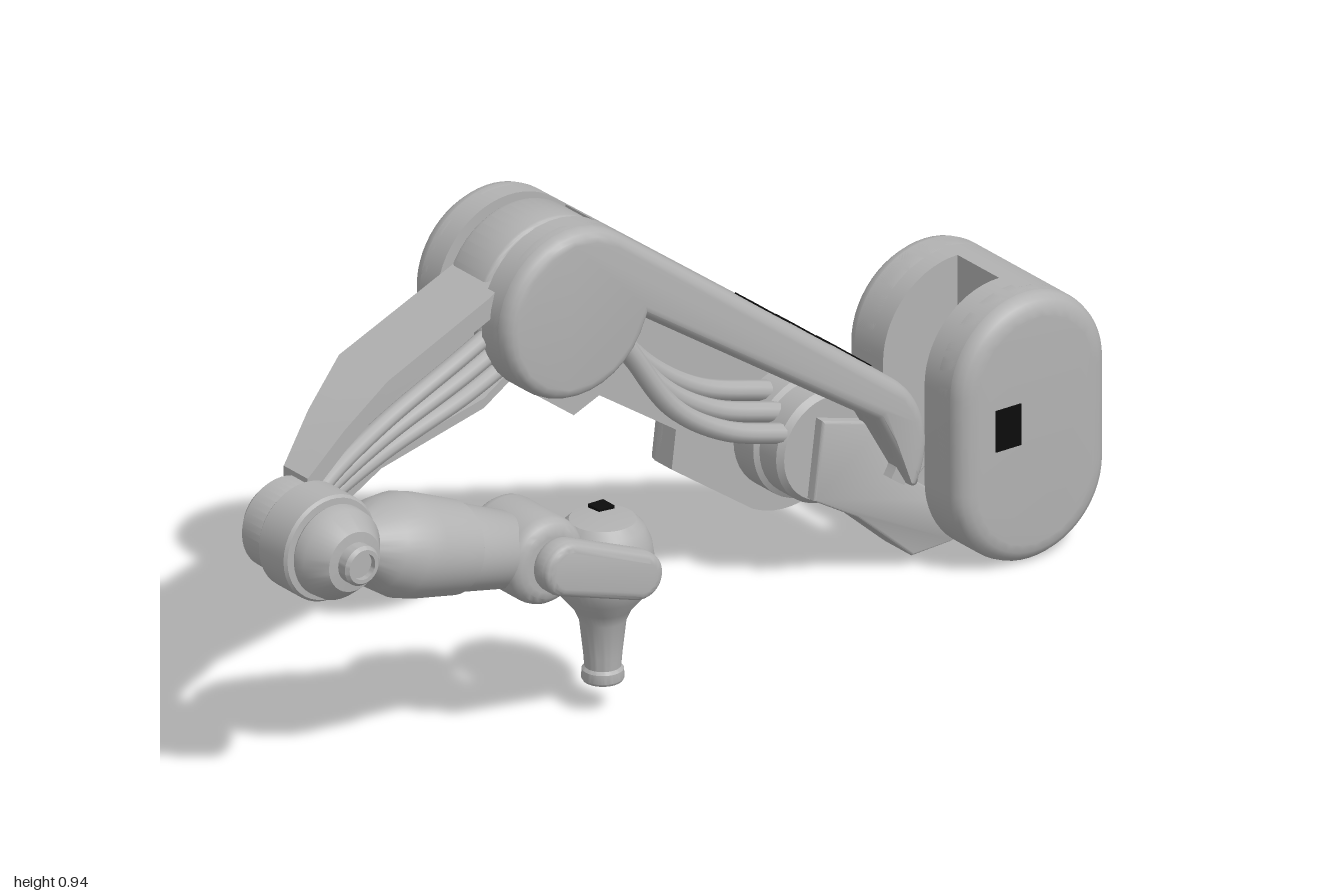
import * as THREE from 'three';
import { toCreasedNormals } from 'three/addons/utils/BufferGeometryUtils.js';

const grey = new THREE.MeshStandardMaterial({ color: 0xb2b2b2 });
grey.name = 'casing grey';
const black = new THREE.MeshStandardMaterial({ color: 0x0c0c0c });
black.name = 'marking black';

const ELBOW = [0.2, 0.77], SHOULDER = [-0.45, 0.29], R = 0.172;
const SLOPE = Math.atan2(0.48, 0.65);

export function createModel() {
  const root = new THREE.Group();
  root.name = 'robotArm';

  const add = (name, geo, mat = grey, crease = 0.6) => {
    const mesh = new THREE.Mesh(crease ? toCreasedNormals(geo, crease) : geo, mat);
    mesh.name = name;
    root.add(mesh);
    return mesh;
  };

  // Arc points in the [z, y] plane, angles in degrees
  const arc = ([cz, cy], r, a0, a1, n = 28) => Array.from({ length: n + 1 }, (_, i) => {
    const a = THREE.MathUtils.degToRad(a0 + (a1 - a0) * i / n);
    return [cz + r * Math.cos(a), cy + r * Math.sin(a)];
  });

  // Extrudes a [z, y] outline along x, optionally with rounded edges
  const slab = (name, pts, x0, x1, size = 0, thick = size) => {
    const shape = new THREE.Shape(pts.map(([z, y]) => new THREE.Vector2(-z, y)));
    const geo = new THREE.ExtrudeGeometry(shape, {
      depth: x1 - x0 - 2 * thick, bevelEnabled: size > 0, bevelSize: size,
      bevelThickness: thick, bevelOffset: -size, bevelSegments: 4,
    });
    geo.translate(0, 0, thick);
    geo.rotateY(Math.PI / 2);
    geo.translate(x0, 0, 0);
    return add(name, geo);
  };

  // Side shell: square inner edge, rounded outer edge
  const cheek = (name, pts, xIn, xOut, size, thick) => {
    const s = Math.sign(xOut - xIn), mid = xOut - s * thick;
    slab(name + 'Inner', pts, Math.min(xIn, mid), Math.max(xIn, mid));
    const a = xIn + s * 0.004;
    slab(name, pts, Math.min(a, xOut), Math.max(a, xOut), size, thick);
  };

  // Turned part from [radius, height] pairs
  const turned = (name, prof) =>
    add(name, new THREE.LatheGeometry(prof.map(([r, h]) => new THREE.Vector2(r, h)), 40));

  // Box-section loft from [z, x0, x1, y0, y1] stations
  const loft = (name, stations) => {
    const pos = [], idx = [];
    for (const [z, x0, x1, y0, y1] of stations) pos.push(x0, y0, z, x1, y0, z, x1, y1, z, x0, y1, z);
    const last = (stations.length - 1) * 4;
    for (let i = 0; i < last; i += 4) {
      for (let j = 0; j < 4; j++) {
        const a = i + j, b = i + (j + 1) % 4;
        idx.push(a, b, b + 4, a, b + 4, a + 4);
      }
    }
    idx.push(0, 2, 1, 0, 3, 2, last, last + 1, last + 2, last, last + 2, last + 3);
    const geo = new THREE.BufferGeometry();
    geo.setAttribute('position', new THREE.Float32BufferAttribute(pos, 3));
    geo.setIndex(idx);
    return add(name, geo, grey, 0.35);
  };

  const cable = (name, pts, r) => add(name, new THREE.TubeGeometry(
    new THREE.CatmullRomCurve3(pts.map(p => new THREE.Vector3(...p))), 28, r, 10), grey, 0);

  const plate = (name, size, at, tilt = 0) => {
    const m = add(name, new THREE.BoxGeometry(...size), black, 0);
    m.position.set(...at);
    m.rotation.x = tilt;
  };

  // Base housing: two rounded cheeks and a closed back
  const base = [...arc([-0.825, 0.375], 0.175, 0, 180), ...arc([-0.825, 0.178], 0.175, 180, 360)];
  cheek('baseCheekRight', base, -0.155, -0.28, 0.04, 0.035);
  cheek('baseCheekLeft', base, -0.025, 0.09, 0.04, 0.035);
  slab('baseBack', [...arc([-0.825, 0.375], 0.175, 90, 180), ...arc([-0.825, 0.178], 0.175, 180, 270)],
    -0.2, 0.03);
  for (const x of [-0.2805, 0.0905]) plate('baseMarking', [0.004, 0.085, 0.06], [x, 0.3, -0.76]);

  // Link between base and shoulder
  slab('shoulderLink', [[-0.4, 0.2], [-0.5, 0.14], [-0.63, 0.025], [-0.72, 0.03], [-0.84, 0.06],
    [-0.84, 0.25], [-0.7, 0.13], [-0.61, 0.2], [-0.56, 0.32], [-0.42, 0.36]], -0.13, -0.035, 0.006);

  // Shoulder motor
  const motor = turned('shoulderMotor', [[0, -0.2], [0.125, -0.2], [0.125, -0.128], [0.115, -0.122],
    [0.115, -0.07], [0.105, -0.058], [0, -0.058]]);
  motor.rotation.z = -Math.PI / 2;
  motor.position.set(0, SHOULDER[1], SHOULDER[0]);

  // Upper arm shell
  cheek('upperArmRight', [...arc(ELBOW, R, 126.4, -53.6), [0.05, 0.445], [-0.01, 0.47], [-0.19, 0.35],
    [-0.18, 0.27], ...arc(SHOULDER, R, -62, -233.6)], -0.19, -0.278, 0.04, 0.035);
  cheek('upperArmLeft', [...arc(ELBOW, R, 126.4, -162), [-0.5, 0.36], [-0.595, 0.195],
    ...arc(SHOULDER, R, 210, 126.4, 14)], -0.05, 0.032, 0.024, 0.03);
  slab('upperArmCover', [[0.07, 0.886], ...arc(SHOULDER, R, 126.4, 215, 14),
    ...arc(SHOULDER, 0.135, 215, 126.4, 14), [0.07, 0.84]], -0.225, -0.01);
  for (const z of [-0.53, -0.435, -0.34]) {
    plate('armStripe', [0.12, 0.006, 0.05], [-0.12, 0.909 + (z - 0.1) * Math.tan(SLOPE), z], -SLOPE);
  }

  // Cables inside the upper arm
  [0, 1, 2].forEach(i => {
    const x = -0.16 + i * 0.04, d = i * 0.03;
    cable('upperArmCable', [[x, 0.72, 0.08], [x, 0.63 - d / 2, 0], [x, 0.52 - d, -0.1],
      [x, 0.44 - d, -0.22], [x, 0.39 - d, -0.38]], 0.02);
  });

  // Elbow drum
  slab('elbowDrum', arc(ELBOW, 0.167, 0, 354, 47), -0.177, -0.062, 0.012);

  // Forearm: channel of wall, top and bottom lips
  const stations = [[0.22, -0.172, -0.06, 0.66, 0.9], [0.37, -0.172, -0.025, 0.6, 0.835],
    [0.63, -0.152, 0, 0.555, 0.742], [0.76, -0.075, 0.04, 0.52, 0.692], [0.87, -0.005, 0.07, 0.465, 0.632]];
  loft('forearmWall', stations.map(([z, a, b, c, d]) => [z, a, a + (b - a) * 0.6, c + 0.005, d - 0.005]));
  loft('forearmTop', stations.map(([z, a, b, c, d]) => [z, a, b, d - 0.045, d]));
  loft('forearmBottom', stations.map(([z, a, b, c]) => [z, a, b - 0.02, c, c + 0.02]));
  [0, 1, 2].forEach(i => cable('forearmCable', [[-0.075, 0.75 - i * 0.045, 0.3],
    [-0.05, 0.715 - i * 0.042, 0.42], [-0.025, 0.645 - i * 0.03, 0.62], [0.02, 0.595 - i * 0.02, 0.78],
    [0.05, 0.56 - i * 0.01, 0.86]], 0.017));

  // First wrist joint
  const wrist = turned('wristJoint', [[0, -0.02], [0.042, -0.02], [0.042, 0], [0.075, 0], [0.092, 0.02],
    [0.092, 0.08], [0.088, 0.086], [0.102, 0.087], [0.107, 0.093], [0.107, 0.17], [0.102, 0.176],
    [0.088, 0.177], [0.092, 0.183], [0.09, 0.21], [0.06, 0.25], [0.04, 0.252], [0.04, 0.273],
    [0.034, 0.28], [0.026, 0.28], [0.026, 0.268], [0, 0.268]]);
  wrist.rotation.z = -Math.PI / 2;
  wrist.position.set(0, 0.533, 0.895);

  // Tapered wrist segment
  const segment = turned('wristSegment', [[0, 0], [0.055, 0.02], [0.064, 0.1], [0.098, 0.145],
    [0.113, 0.19], [0.113, 0.23], [0.102, 0.33], [0.096, 0.335], [0.084, 0.45], [0.07, 0.475], [0, 0.48]]);
  segment.position.set(0.13, 0.533, 0.895);
  segment.rotation.x = Math.atan2(-0.48, -0.15);
  segment.scale.z = 0.88;

  // Second wrist joint with side fork
  slab('wristKnuckle', arc([0.41, 0.385], 0.088, 0, 352, 39), 0.045, 0.222, 0.03);
  const capsule = (a, ra, b, rb) => [...arc(a, ra, 110, -70, 14), ...arc(b, rb, -70, -250, 14)];
  slab('forkLeft', capsule([0.4, 0.385], 0.055, [0.225, 0.322], 0.048), 0.212, 0.268, 0.018);
  slab('forkRight', capsule([0.41, 0.36], 0.055, [0.345, 0.325], 0.05), 0, 0.07, 0.02);

  // Tool head with hollow nozzle
  const tool = turned('toolHead', [[0, 0.1], [0.026, 0.1], [0.031, 0.065], [0.038, 0.065], [0.041, 0.07],
    [0.04, 0.088], [0.035, 0.094], [0.037, 0.12], [0.045, 0.19], [0.056, 0.214], [0.082, 0.245],
    [0.095, 0.28], [0.098, 0.315], [0.093, 0.35], [0.08, 0.38], [0.064, 0.396], [0, 0.402]]);
  tool.position.set(0.13, 0, 0.222);
  plate('toolMarking', [0.036, 0.008, 0.036], [0.093, 0.4, 0.198]);

  return root;
}
